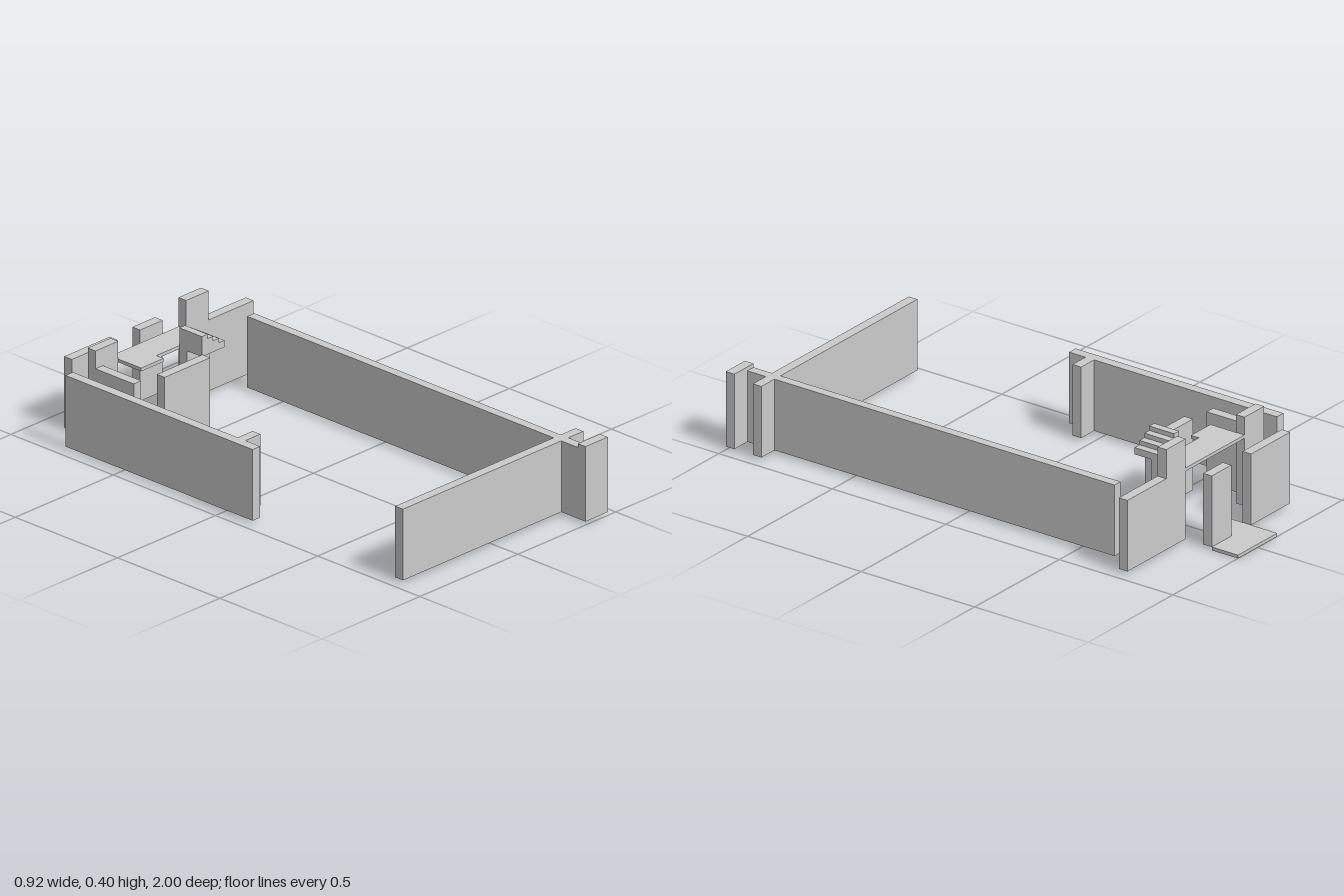
import * as THREE from 'three';

export function createModel() {
  const model = new THREE.Group();
  const mat = new THREE.MeshStandardMaterial({ color: 0xcccccc, flatShading: true });
  const base = 0.013, top = 0.289;

  const add = (name, geo) => {
    const m = new THREE.Mesh(geo, mat);
    m.name = name;
    model.add(m);
    return m;
  };
  // Box given by its limits on each axis
  const block = (name, x0, x1, z0, z1, y1 = top, y0 = base) =>
    add(name, new THREE.BoxGeometry(x1 - x0, y1 - y0, z1 - z0))
      .position.set((x0 + x1) / 2, (y0 + y1) / 2, (z0 + z1) / 2);
  const outline = (pts) => new THREE.Shape(pts.map(([x, y]) => new THREE.Vector2(x, y)));
  // Flat floor slab from an outline in x and z
  const slab = (name, pts, y0, y1) => {
    const geo = new THREE.ExtrudeGeometry(outline(pts.map(([x, z]) => [x, -z])),
      { depth: y1 - y0, bevelEnabled: false });
    geo.rotateX(-Math.PI / 2);
    add(name, geo).position.y = y0;
  };
  // Upright wall from an outline in x and y
  const upright = (name, pts, z0, z1) =>
    add(name, new THREE.ExtrudeGeometry(outline(pts), { depth: z1 - z0, bevelEnabled: false }))
      .position.z = z0;

  // Outer walls
  block('rightLongWall', -0.462, -0.424, -0.77, 0.146);
  block('rightWallStub', -0.424, -0.348, 0.036, 0.074);
  block('leftLongWall', 0.346, 0.382, -0.655, 0.962);
  block('frontWallLong', -0.462, 0.346, 0.843, 0.881);
  block('frontWallEnd', 0.382, 0.459, 0.843, 0.881);
  block('cornerWall', 0.346, 0.459, 0.962, 1.0, 0.304);

  // Back wall with a raised block beside the opening
  upright('backWallLeft', [[0.115, base], [0.459, base], [0.459, top], [0.23, top],
    [0.23, 0.402], [0.115, 0.402]], -0.77, -0.732);
  block('backWallRight', -0.348, -0.232, -0.77, -0.732, 0.358);

  // Walls around the entrance
  block('porchWallRight', -0.348, -0.117, -0.885, -0.847);
  block('porchWallLeft', 0, 0.115, -0.885, -0.847);
  block('innerSideWall', -0.348, -0.31, -0.732, -0.545);
  block('innerFrontWall', -0.232, 0, -0.543, -0.505);
  block('stairSupportWall', 0, 0.115, -0.655, -0.617, 0.28);

  // Entrance floor and raised landing
  slab('entranceFloor', [[-0.117, -1], [-0.117, -0.77], [0, -0.77], [0, -0.885],
    [0.115, -0.885], [0.115, -1]], 0, base);
  slab('landing', [[-0.232, -0.77], [-0.232, -0.62], [-0.117, -0.62], [-0.117, -0.655],
    [0.115, -0.655], [0.115, -0.77]], 0.276, top);

  // Four steps rising towards the model's right
  const steps = 4, run = 0.115 / steps, rise = 0.0173;
  const profile = [[0, 0.28], [0.115, 0.28]];
  for (let i = 0; i < steps; i++) {
    const y = top + rise * (i + 1);
    profile.push([0.115 - run * i, y], [0.115 - run * (i + 1), y]);
  }
  upright('stairs', profile, -0.655, -0.545);

  return model;
}
